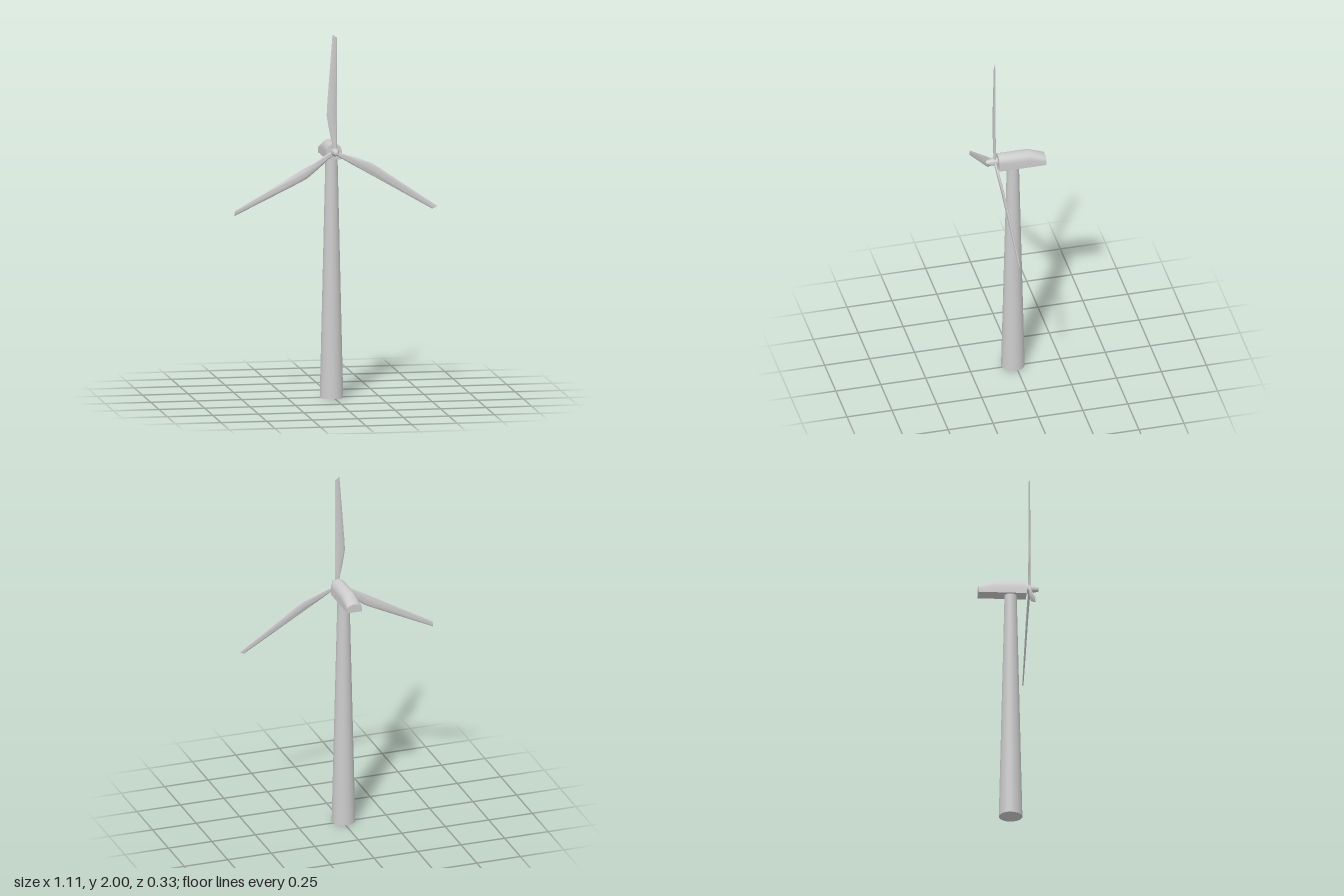
import * as THREE from 'three';
import { toCreasedNormals } from 'three/addons/utils/BufferGeometryUtils.js';

const material = new THREE.MeshStandardMaterial({ color: 0xcccccc });
const AXIS_X = -0.01, HUB_Y = 1.357, ROTOR_Z = 0.113;

function addMesh(parent, name, geometry) {
  const mesh = new THREE.Mesh(geometry, material);
  mesh.name = name;
  parent.add(mesh);
  return mesh;
}

// Skin over equal-length rings, counter-clockwise about the loft direction, with flat end caps
function loft(rings, crease) {
  const n = rings[0].length, last = (rings.length - 1) * n, index = [];
  for (let r = 0; r < rings.length - 1; r++) {
    for (let i = 0; i < n; i++) {
      const a = r * n + i, b = r * n + (i + 1) % n;
      index.push(a, b, b + n, a, b + n, a + n);
    }
  }
  for (let i = 1; i < n - 1; i++) {
    index.push(0, i + 1, i, last, last + i, last + i + 1);
  }
  const geometry = new THREE.BufferGeometry();
  geometry.setAttribute('position', new THREE.Float32BufferAttribute(rings.flat(2), 3));
  geometry.setIndex(index);
  return toCreasedNormals(geometry, crease);
}

// Arched nacelle section: flat floor, upright sides, rounded roof
function nacelleRing(z, top) {
  const floor = 1.315, half = 0.042, spring = floor + (top - floor) * 0.5;
  const ring = [[-half, floor, z], [half, floor, z]];
  for (let i = 0; i <= 10; i++) {
    const a = Math.PI * i / 10;
    ring.push([half * Math.cos(a), spring + (top - spring) * Math.sin(a), z]);
  }
  return ring;
}

// Blade section: lens between the left and right edges; slant tilts the tip
function bladeRing([y, left, right, thick, slant = 0]) {
  const ring = [], mid = (left + right) / 2, half = (right - left) / 2;
  for (let i = 0; i < 12; i++) {
    const a = Math.PI * 2 * i / 12, x = mid + half * Math.cos(a);
    ring.push([x, y - x * slant, -thick / 2 * Math.sin(a)]);
  }
  return ring;
}

export function createModel() {
  const model = new THREE.Group();
  model.name = 'windTurbine';

  // Tapered tower
  const tower = addMesh(model, 'tower', new THREE.CylinderGeometry(0.033, 0.064, 1.32, 20));
  tower.position.set(AXIS_X, 0.66, 0.012);

  // Nacelle with a roof sloping down at the back
  const nacelle = addMesh(model, 'nacelle', loft(
    [nacelleRing(-0.165, 1.362), nacelleRing(-0.075, 1.4), nacelleRing(0.097, 1.4)], 0.5));
  nacelle.position.x = AXIS_X;

  const rotor = new THREE.Group();
  rotor.name = 'rotor';
  rotor.position.set(AXIS_X, HUB_Y, ROTOR_Z);
  model.add(rotor);

  // Hub and tapering nose cone
  const profile = [[0, -0.02], [0.016, -0.02], [0.022, -0.01], [0.022, 0.007], [0.012, 0.047], [0.008, 0.05], [0, 0.05]];
  const hub = addMesh(rotor, 'hub', toCreasedNormals(
    new THREE.LatheGeometry(profile.map(([r, y]) => new THREE.Vector2(r, y)), 16), 0.6));
  hub.rotation.x = Math.PI / 2;

  // Three blades: straight trailing edge, bulged leading edge, slanted tip
  const stations = [
    [0, -0.011, 0.011, 0.014], [0.035, -0.013, 0.012, 0.014], [0.12, -0.031, 0.013, 0.013],
    [0.2, -0.045, 0.013, 0.012], [0.25, -0.043, 0.013, 0.012], [0.45, -0.028, 0.013, 0.01],
    [0.634, -0.013, 0.013, 0.007, 0.7],
  ];
  const bladeGeometry = loft(stations.map(bladeRing), 0.9);
  for (let i = 0; i < 3; i++) {
    const blade = addMesh(rotor, `blade${i + 1}`, bladeGeometry);
    blade.rotation.z = -i * Math.PI * 2 / 3;
  }
  return model;
}
